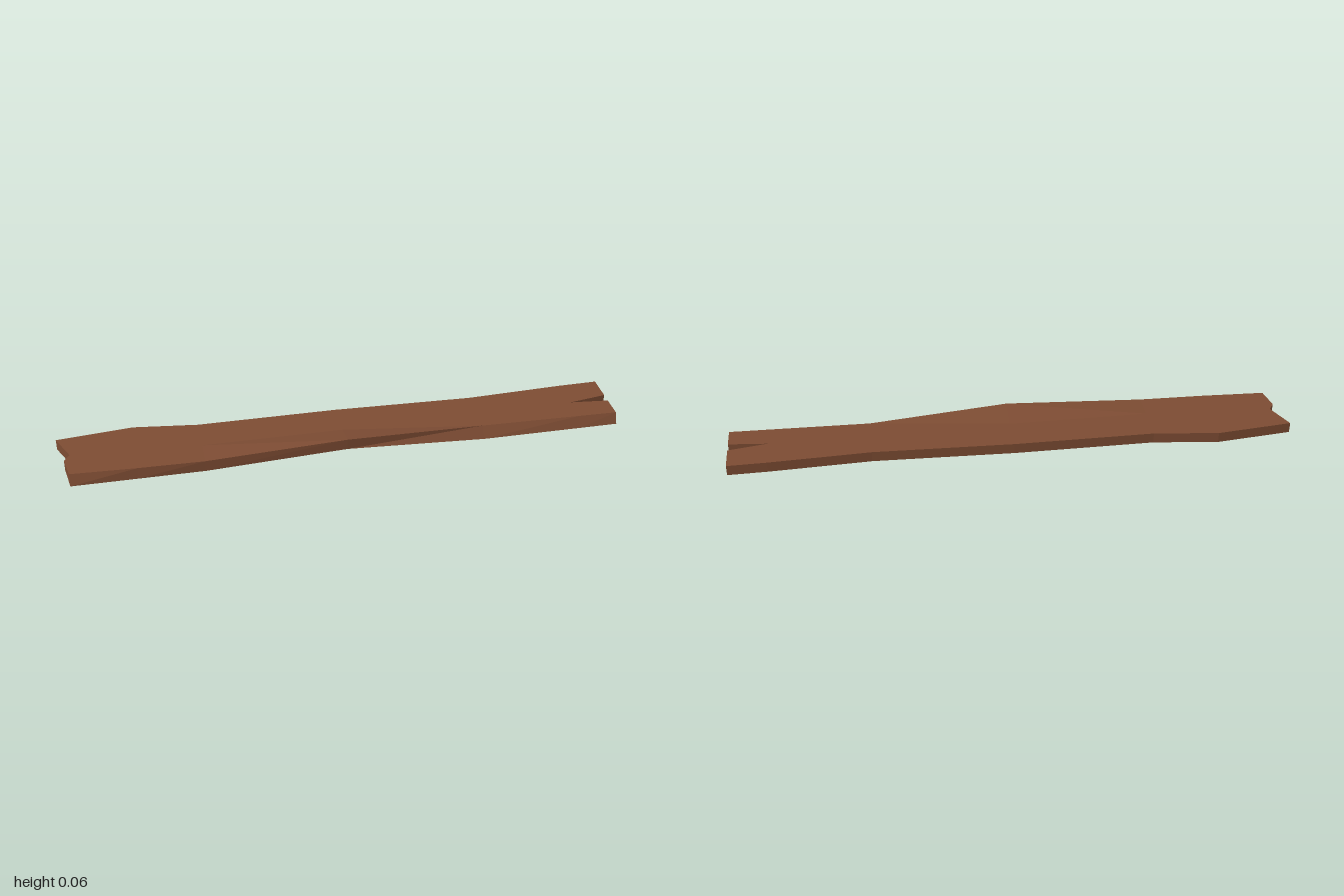
import * as THREE from 'three';

export function createModel() {
  const wood = new THREE.MeshStandardMaterial({ color: 0x7d4c33, flatShading: true });
  wood.name = 'brown wood';

  // Stations along the plank; four lines run lengthwise: back, two middle ones, front.
  const xs = [-1, -0.73, -0.5, 0, 0.5, 0.86, 1];
  const leftEndX = [-1, -0.955, -0.975, -0.96];            // broken left end
  const lines = [
    [-0.1, -0.128, -0.1, -0.1, -0.083, -0.098, -0.1],      // back edge
    [0, 0, 0, 0, 0, 0.018, -0.005],                        // the middle lines meet at
    [0.03, 0.03, 0.03, 0.03, 0.03, 0.018, 0.032],          // the tip of the split
    [0.128, 0.128, 0.128, 0.128, 0.128, 0.128, 0.128],     // front edge
  ];
  const frontTopZ = [0.111, 0.121, 0.126, 0.128, 0.1, 0.108, 0.111]; // worn upper front edge
  const thickness = 0.039;

  // Slight tilt, plus a warp that lifts the front edge at mid length
  const bottomY = (s, c) => 0.003 - 0.0235 * lines[c][s] + (s === 3 && c === 3 ? 0.024 : 0);
  const point = (s, c, top) => [
    s === 0 ? leftEndX[c] : xs[s],
    bottomY(s, c) + (top ? thickness : 0),
    top && c === 3 ? frontTopZ[s] : lines[c][s],
  ];

  const positions = [];
  const quad = (a, b, c, d) => positions.push(...a, ...b, ...c, ...a, ...c, ...d);

  // Upper and lower faces, leaving the split open at the right end
  const last = xs.length - 1;
  for (let s = 0; s < last; s++) {
    for (let c = 0; c < 3; c++) {
      if (s === last - 1 && c === 1) continue;
      const corners = [[s, c], [s, c + 1], [s + 1, c + 1], [s + 1, c]];
      quad(...corners.map(([i, j]) => point(i, j, true)));
      quad(...corners.reverse().map(([i, j]) => point(i, j, false)));
    }
  }

  // Walls around the outline, including the split
  const outline = [[0, 0], [0, 1], [0, 2]];
  for (let s = 0; s <= last; s++) outline.push([s, 3]);
  outline.push([last, 2], [last - 1, 2], [last, 1]);
  for (let s = last; s > 0; s--) outline.push([s, 0]);
  outline.forEach((p, i) => {
    const q = outline[(i + 1) % outline.length];
    quad(point(...p, false), point(...q, false), point(...q, true), point(...p, true));
  });

  const geometry = new THREE.BufferGeometry();
  geometry.setAttribute('position', new THREE.Float32BufferAttribute(positions, 3));
  geometry.computeVertexNormals();

  const plank = new THREE.Mesh(geometry, wood);
  plank.name = 'plank';
  const group = new THREE.Group();
  group.name = 'brokenPlank';
  group.add(plank);
  return group;
}
